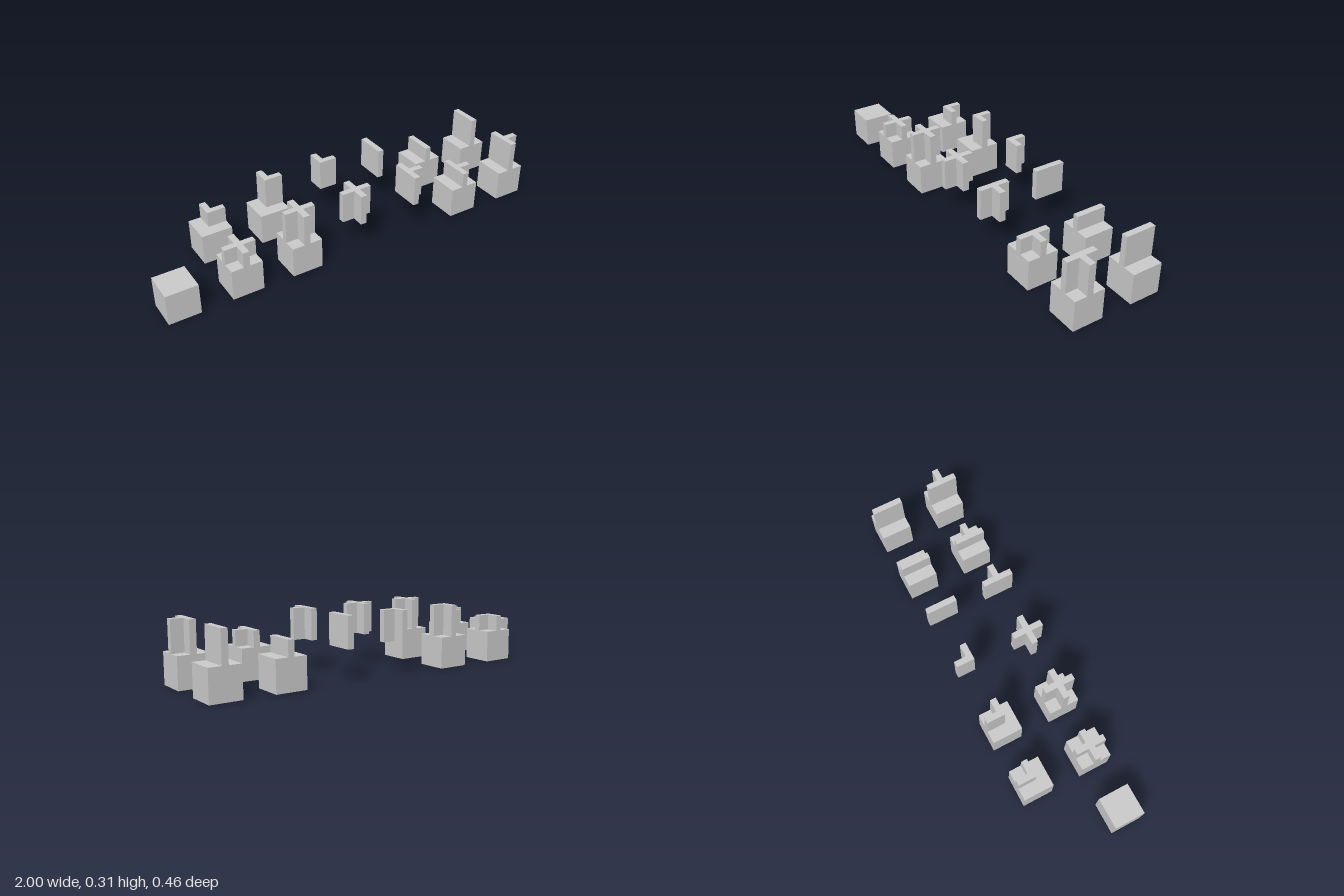
import * as THREE from 'three';

const S = 2 / 13;                                  // tile width
const FLOOR = 0.002, TOP = FLOOR + S;              // underside and top of the base blocks
const BANDS = [-0.5, -0.1, 0.1, 0.5].map(v => v * S);

// Wall footprints on a 3 x 3 grid: rows run back to front, columns along x.
const PLANS = {
  none: ['000', '000', '000'],
  cross: ['010', '111', '010'],
  tee: ['010', '011', '010'],
  corner: ['010', '011', '000'],
  straight: ['010', '010', '010'],
};

const material = new THREE.MeshStandardMaterial({
  color: 0xcccccc, flatShading: true, side: THREE.DoubleSide,
});

// Open-bottomed tile: each grid cell rises from bottom to its own height.
function tileGeometry(plan, bottom, blockTop, wallTop) {
  const height = (r, c) => {
    if (r < 0 || r > 2 || c < 0 || c > 2) return bottom;
    return plan[r][c] === '1' ? wallTop : blockTop;
  };
  const positions = [];
  const quad = (a, b, c, d) => positions.push(...a, ...b, ...c, ...a, ...c, ...d);

  for (let r = 0; r < 3; r++) {
    for (let c = 0; c < 3; c++) {
      const h = height(r, c);
      if (h <= bottom) continue;
      const x0 = BANDS[c], x1 = BANDS[c + 1], z0 = BANDS[r], z1 = BANDS[r + 1];
      const loop = [[x0, z1], [x1, z1], [x1, z0], [x0, z0]];
      const neighbours = [[r + 1, c], [r, c + 1], [r - 1, c], [r, c - 1]];
      // top face
      quad(...loop.map(([x, z]) => [x, h, z]));
      // sides, only where the neighbouring cell is lower
      neighbours.forEach(([nr, nc], i) => {
        const low = height(nr, nc);
        if (low >= h) return;
        const [ax, az] = loop[i], [bx, bz] = loop[(i + 1) % 4];
        quad([ax, low, az], [bx, low, bz], [bx, h, bz], [ax, h, az]);
      });
    }
  }
  const geometry = new THREE.BufferGeometry();
  geometry.setAttribute('position', new THREE.Float32BufferAttribute(positions, 3));
  geometry.computeVertexNormals();
  return geometry;
}

export function createModel() {
  const group = new THREE.Group();

  const addTile = (name, column, z, plan, bottom, blockTop, wallTop) => {
    const mesh = new THREE.Mesh(tileGeometry(PLANS[plan], bottom, blockTop, wallTop), material);
    mesh.name = name;
    mesh.position.set(column * 2 * S, 0, z);
    group.add(mesh);
  };

  // plain block at the end of the front row
  addTile('plainBlock', -3, S, 'none', 0, S, S);

  // three kinds of tile, repeated for every wall plan
  const kinds = [
    { name: 'LowWallBlock', bottom: FLOOR, wallTop: TOP + S / 2 },
    { name: 'HighWallBlock', bottom: FLOOR, wallTop: TOP + S },
    { name: 'FreeWall', bottom: TOP, wallTop: TOP + S },
  ];
  const sets = [
    { plan: 'cross', z: S, columns: [-2, -1, 0] },
    { plan: 'corner', z: -S, columns: [-2, -1, 0] },
    { plan: 'tee', z: S, columns: [2, 3, 1] },
    { plan: 'straight', z: -S, columns: [2, 3, 1] },
  ];
  for (const { plan, z, columns } of sets) {
    kinds.forEach((kind, i) => {
      addTile(plan + kind.name, columns[i], z, plan, kind.bottom, TOP, kind.wallTop);
    });
  }
  return group;
}
